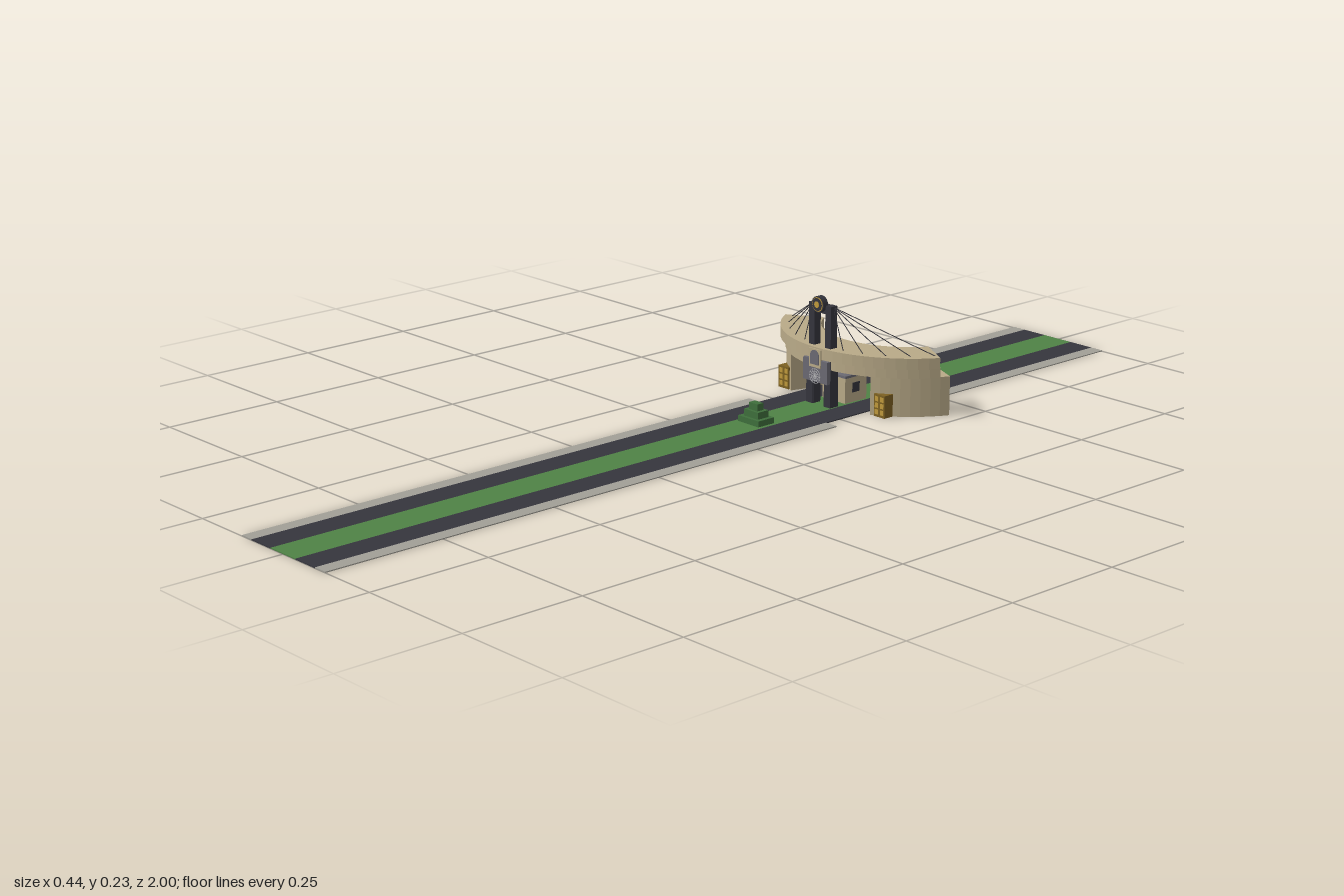
import * as THREE from 'three';

const mat = (name, color) => Object.assign(new THREE.MeshStandardMaterial({ color }), { name });

export function createModel() {
  const stone = mat('sandstone', 0xb9aa88);
  const dark = mat('dark asphalt', 0x35353d);
  const green = mat('grass green', 0x4f8245);
  const hedge = mat('hedge green', 0x3f6f3c);
  const paving = mat('paving', 0xa19f97);
  const slate = mat('slate', 0x6b6a73);
  const gold = mat('gold', 0xc09a3c);
  const bronze = mat('bronze', 0x7d6122);
  const pale = mat('pale metal', 0xbdbdc0);

  const root = new THREE.Group();
  const add = (name, geo, material, parent = root) => {
    const m = new THREE.Mesh(geo, material);
    m.name = name;
    parent.add(m);
    return m;
  };
  // box given by its limits on each axis
  const box = (name, material, x0, x1, y0, y1, z0, z1) => {
    const m = add(name, new THREE.BoxGeometry(x1 - x0, y1 - y0, z1 - z0), material);
    m.position.set((x0 + x1) / 2, (y0 + y1) / 2, (z0 + z1) / 2);
    return m;
  };
  // straight round bar between two points
  const bar = (name, material, a, b, r) => {
    const m = add(name, new THREE.CylinderGeometry(r, r, a.distanceTo(b), 5), material);
    m.position.copy(a).add(b).multiplyScalar(0.5);
    m.quaternion.setFromUnitVectors(new THREE.Vector3(0, 1, 0), b.clone().sub(a).normalize());
    return m;
  };
  const V = (x, y, z) => new THREE.Vector3(x, y, z);

  // curved block in plan: outer arc a0..a1, inner arc b0..a1 (degrees from +z)
  const ZC = -0.526;
  const arcBlock = (name, ro, ri, a0, a1, b0, y0, y1, n) => {
    const pts = [];
    const put = (r, deg) => {
      const a = THREE.MathUtils.degToRad(deg);
      pts.push(new THREE.Vector2(r * Math.sin(a), -(ZC + r * Math.cos(a))));
    };
    for (let i = 0; i <= n; i++) put(ro, a0 + (a1 - a0) * i / n);
    for (let i = n; i >= 0; i--) put(ri, b0 + (a1 - b0) * i / n);
    const geo = new THREE.ExtrudeGeometry(new THREE.Shape(pts), { depth: y1 - y0, bevelEnabled: false });
    geo.rotateX(-Math.PI / 2).translate(0, y0, 0);
    return add(name, geo, stone);
  };

  // boulevard
  box('median', green, -0.037, 0.037, 0, 0.002, -1, 1);
  for (const s of [-1, 1]) {
    const strip = (name, m, a, b, z0, z1) =>
      box(name, m, Math.min(s * a, s * b), Math.max(s * a, s * b), 0, 0.002, z0, z1);
    strip('roadway', dark, 0.037, 0.095, -1, 1);
    strip('backSidewalk', paving, 0.095, 0.125, -1, -0.49);
    strip('frontSidewalk', paving, 0.095, 0.125, -0.21, 1);
  }

  // curved gateway
  arcBlock('upperBand', 0.253, 0.17, -60, 60, -60, 0.1, 0.123, 24);
  arcBlock('lowerBand', 0.243, 0.168, -61, 61, -61, 0.079, 0.1, 24);
  arcBlock('leftLeg', 0.24, 0.168, 28, 66, 33.5, 0, 0.08, 8);
  arcBlock('rightLeg', 0.24, 0.168, -28, -66, -33.5, 0, 0.08, 8);

  for (const s of [-1, 1]) {
    // doors with two leaves
    box('doorway', bronze, s * 0.136 - 0.0145, s * 0.136 + 0.0145, 0, 0.046, -0.34, -0.316);
    for (const k of [-1, 1]) {
      const x = s * 0.136 + k * 0.0072;
      for (let j = 0; j < 3; j++)
        box('doorPanel', gold, x - 0.0045, x + 0.0045, 0.005 + j * 0.0135, 0.015 + j * 0.0135, -0.3165, -0.3155);
    }
    // pylons
    box('pylon', dark, s * 0.023 - 0.008, s * 0.023 + 0.008, 0, 0.209, -0.301, -0.284);
    box('pylonBase', dark, s * 0.025 - 0.009, s * 0.025 + 0.009, 0, 0.08, -0.303, -0.281);
    // stay cables fanning to the band
    for (const x of [0.055, 0.096, 0.137, 0.174, 0.203]) {
      const z = ZC + Math.sqrt(0.237 ** 2 - x * x);
      bar('cable', dark, V(s * 0.028, 0.207, -0.293), V(s * x, 0.122, z), 0.0009);
    }
  }
  box('pylonCrossbar', dark, -0.016, 0.016, 0.191, 0.209, -0.299, -0.286);

  // round emblem on the pylons
  const disc = (name, m, r, z0, z1) => {
    const d = add(name, new THREE.CylinderGeometry(r, r, z1 - z0, 28).rotateX(Math.PI / 2), m);
    d.position.set(0, 0.21, (z0 + z1) / 2);
  };
  disc('wheelBody', dark, 0.0165, -0.29, -0.277);
  disc('wheelRing', gold, 0.0145, -0.291, -0.276);
  disc('wheelFace', dark, 0.013, -0.292, -0.275);
  disc('wheelHub', gold, 0.0065, -0.293, -0.274);

  // sign board with rosette
  box('signBoard', slate, -0.034, 0.034, 0.052, 0.098, -0.281, -0.272);
  box('plaque', stone, -0.016, 0.016, 0.082, 0.12, -0.28, -0.2705);
  const niche = new THREE.Shape();
  niche.moveTo(-0.012, 0.088);
  niche.lineTo(0.012, 0.088);
  niche.lineTo(0.012, 0.106);
  niche.absarc(0, 0.106, 0.012, 0, Math.PI, false);
  const n = add('archNiche', new THREE.ExtrudeGeometry(niche, { depth: 0.001, bevelEnabled: false, curveSegments: 10 }), slate);
  n.position.z = -0.2705;
  for (const r of [0.005, 0.01, 0.015]) {
    const ring = add('rosetteRing', new THREE.TorusGeometry(r, 0.0006, 5, 20), pale);
    ring.position.set(0, 0.064, -0.2713);
  }
  for (let i = 0; i < 6; i++) {
    const a = i * Math.PI / 6, c = Math.cos(a) * 0.0155, s = Math.sin(a) * 0.0155;
    bar('rosetteSpoke', pale, V(-c, 0.064 - s, -0.2713), V(c, 0.064 + s, -0.2713), 0.0005);
  }

  // small house behind the gateway
  box('houseWalls', stone, -0.032, 0.032, 0, 0.056, -0.385, -0.325);
  const eave = box('houseRoof', slate, -0.038, 0.038, 0.056, 0.061, -0.39, -0.32);
  const top = add('houseRoofTop', new THREE.CylinderGeometry(0.6, Math.SQRT1_2, 1, 4, 1).rotateY(Math.PI / 4), slate);
  top.scale.set(0.074, 0.006, 0.068);
  top.position.set(0, eave.position.y + 0.0055, eave.position.z);
  for (const s of [-1, 1]) {
    box('houseWindow', dark, s * 0.02 - 0.006, s * 0.02 + 0.006, 0.022, 0.042, -0.386, -0.384);
    box('sideWindow', dark, s * 0.032 - 0.001, s * 0.032 + 0.001, 0.022, 0.042, -0.365, -0.345);
  }
  box('houseDoor', dark, -0.007, 0.007, 0.002, 0.036, -0.386, -0.384);

  // stepped hedge on the median
  box('hedgeLowerTier', hedge, -0.029, 0.029, 0, 0.014, -0.133, -0.091);
  box('hedgeMiddleTier', hedge, -0.02, 0.02, 0.014, 0.028, -0.126, -0.098);
  box('hedgeTopTier', hedge, -0.012, 0.012, 0.028, 0.042, -0.12, -0.104);

  return root;
}
